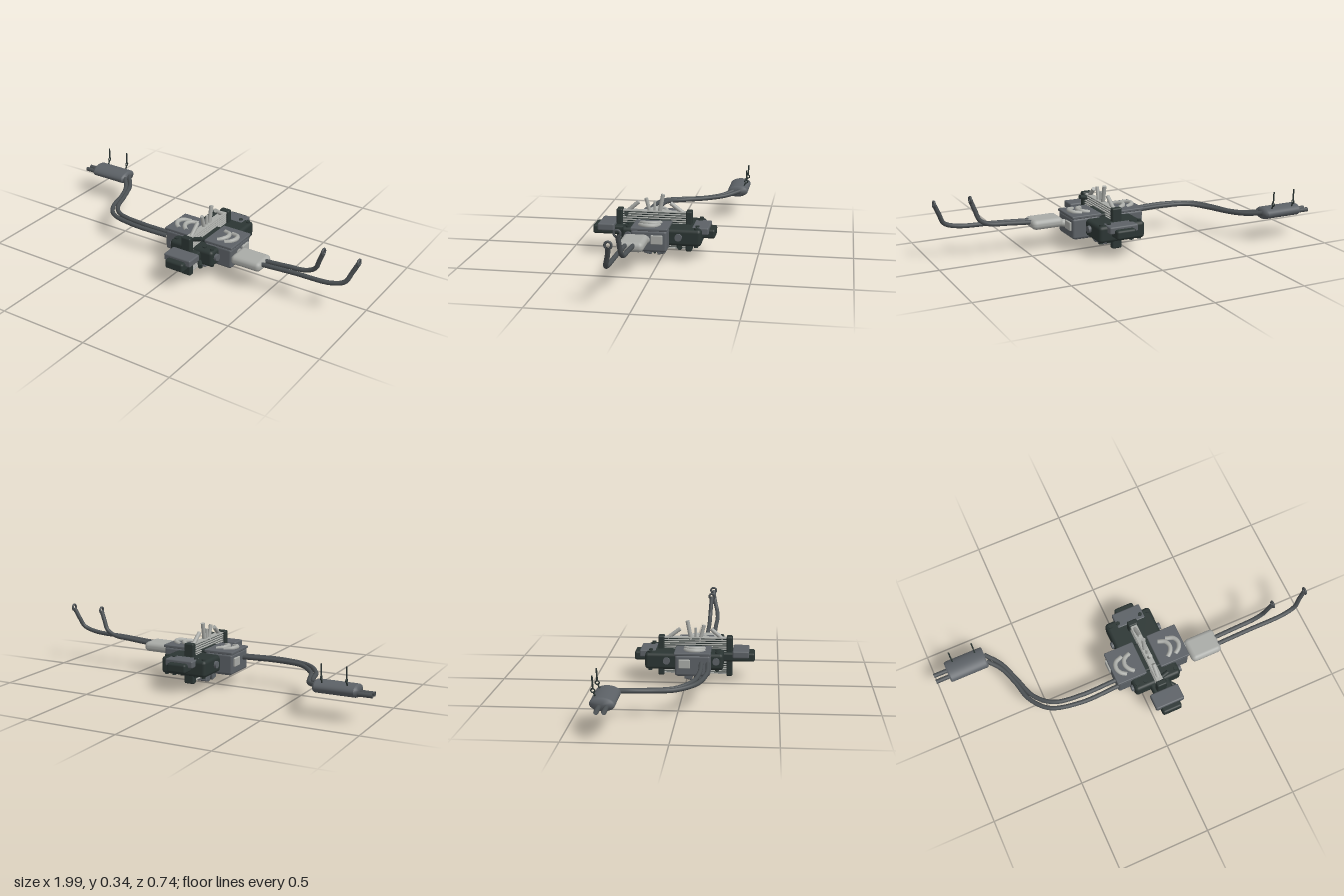
import * as THREE from 'three';
import { RoundedBoxGeometry } from 'three/addons/geometries/RoundedBoxGeometry.js';
import { toCreasedNormals } from 'three/addons/utils/BufferGeometryUtils.js';

const CX = 0.083, CZ = 0.045; // middle of the engine

export function createModel() {
  const model = new THREE.Group();
  model.name = 'engineAndExhaust';
  const material = (name, color) => {
    const m = new THREE.MeshStandardMaterial({ color });
    m.name = name;
    return m;
  };
  const black = material('blackCasting', 0x2b3533);
  const grey = material('greyMetal', 0x5c6166);
  const steel = material('exhaustSteel', 0x4b5053);
  const pale = material('paleAluminium', 0xa9aba7);

  const add = (name, geometry, mat, parent = model) => {
    const mesh = new THREE.Mesh(geometry, mat);
    mesh.name = name;
    parent.add(mesh);
    return mesh;
  };
  // Rounded box given by its limits on each axis
  const box = (name, mat, x0, x1, y0, y1, z0, z1, r = 0.008) => {
    const mesh = add(name, new RoundedBoxGeometry(x1 - x0, y1 - y0, z1 - z0, 2, r), mat);
    mesh.position.set((x0 + x1) / 2, (y0 + y1) / 2, (z0 + z1) / 2);
    return mesh;
  };
  // Cylinder between two points
  const rod = (name, mat, a, b, r, r2 = r) => {
    const p = new THREE.Vector3(...a), q = new THREE.Vector3(...b);
    const d = q.clone().sub(p);
    const mesh = add(name, new THREE.CylinderGeometry(r2, r, d.length(), 20), mat);
    mesh.position.copy(p).add(q).multiplyScalar(0.5);
    mesh.quaternion.setFromUnitVectors(new THREE.Vector3(0, 1, 0), d.normalize());
    return mesh;
  };
  const pipe = (name, mat, points, r, segments = 64) => {
    const curve = new THREE.CatmullRomCurve3(points.map(p => new THREE.Vector3(...p)));
    return add(name, new THREE.TubeGeometry(curve, segments, r, 14), mat);
  };

  // Rear silencer: an oval can with chamfered ends
  const profile = [[0, -0.108], [0.92, -0.108], [1, -0.1], [1, 0.1], [0.92, 0.108], [0, 0.108]];
  const can = toCreasedNormals(new THREE.LatheGeometry(
    profile.map(([x, y]) => new THREE.Vector2(x, y)), 40), 0.6);
  can.scale(0.033, 1, 0.06);
  can.rotateZ(Math.PI / 2);
  const silencer = add('silencer', can, grey);
  silencer.position.set(-0.818, 0.163, -0.313);
  silencer.rotation.x = 0.05;
  for (const z of [-0.328, -0.292]) {
    const tail = add('tailPipe', new THREE.CylinderGeometry(0.012, 0.012, 0.085, 20, 1, true), steel);
    tail.material = material('tailPipeSteel', 0x4b5053);
    tail.material.side = THREE.DoubleSide;
    tail.rotation.z = Math.PI / 2;
    tail.position.set(-0.9575, 0.151, z);
  }
  // Silencer hangers with a ring in the middle
  for (const x of [-0.88, -0.752]) {
    rod('hangerRod', black, [x, 0.226, -0.36], [x, 0.287, -0.363], 0.004);
    rod('hangerFoot', black, [x, 0.183, -0.345], [x, 0.208, -0.357], 0.004);
    const ring = add('hangerRing', new THREE.TorusGeometry(0.009, 0.0035, 8, 20), black);
    ring.rotation.y = Math.PI / 2;
    ring.position.set(x, 0.217, -0.36);
  }

  // Twin pipes from the engine to the silencer
  pipe('rearPipe', steel, [[-0.71, 0.165, -0.325], [-0.645, 0.15, -0.245], [-0.6, 0.14, -0.13],
    [-0.555, 0.138, -0.01], [-0.47, 0.148, 0.068], [-0.32, 0.15, 0.093], [-0.12, 0.147, 0.09]], 0.012);
  pipe('rearPipe', steel, [[-0.71, 0.165, -0.285], [-0.655, 0.15, -0.22], [-0.615, 0.14, -0.12],
    [-0.585, 0.138, -0.01], [-0.505, 0.146, 0.088], [-0.34, 0.15, 0.13], [-0.12, 0.147, 0.126]], 0.012);

  // Twin front pipes bending up to their flanges
  pipe('frontPipe', steel, [[0.46, 0.16, 0.09], [0.6, 0.172, 0.09], [0.7, 0.183, 0.09],
    [0.75, 0.212, 0.09], [0.77, 0.26, 0.093], [0.792, 0.318, 0.097]], 0.012);
  pipe('frontPipe', steel, [[0.46, 0.16, 0.13], [0.65, 0.172, 0.13], [0.86, 0.183, 0.13],
    [0.93, 0.21, 0.122], [0.955, 0.26, 0.108], [0.982, 0.318, 0.097]], 0.012);
  for (const x of [0.792, 0.982]) {
    const flange = add('pipeFlange', new THREE.TorusGeometry(0.016, 0.006, 10, 24), steel);
    flange.rotation.y = Math.PI / 2;
    flange.position.set(x, 0.32, 0.098);
  }

  // Catalyst with its inlet cone
  box('catalyst', pale, 0.3, 0.475, 0.125, 0.178, 0.037, 0.17, 0.024);
  rod('catalystInlet', pale, [0.275, 0.14, 0.055], [0.315, 0.145, 0.065], 0.022, 0.02);

  // Crankcase and cylinder banks
  box('crankcase', black, -0.05, 0.213, 0.09, 0.18, -0.217, 0.203, 0.018);
  for (const s of [-1, 1]) {
    const a = CX + s * 0.045, b = CX + s * 0.205;
    const [x0, x1] = [Math.min(a, b), Math.max(a, b)];
    box('cylinderBank', grey, x0, x1, 0.077, 0.188, -0.05, 0.137, 0.012);
    box('bankCover', grey, x0 - 0.004, x1 + 0.004, 0.187, 0.203, -0.055, 0.138, 0.005);
    box('sumpPad', grey, x0 + 0.015, x1 - 0.015, 0.072, 0.082, -0.038, 0.125, 0.004);
    const e = CX + s * 0.207;
    box('endCover', pale, e - 0.008, e + 0.008, 0.12, 0.167, -0.03, 0.032, 0.004);
    for (const z of [-0.1, 0.165])
      rod('sidePort', grey, [CX + s * 0.12, 0.14, z], [CX + s * 0.145, 0.14, z], 0.019);
    // Curved intake runners lying on each cover
    for (const [d, bend] of [[0.085, 0.035], [0.13, 0.04]])
      pipe('intakeRunner', pale, [[CX + s * d, 0.2, 0.0], [CX + s * (d + bend), 0.206, 0.018],
        [CX + s * (d + bend + 0.012), 0.208, 0.05], [CX + s * (d + bend), 0.206, 0.08],
        [CX + s * (d + 0.012), 0.2, 0.1]], 0.012, 24);
    // Bolts along the crankcase edges
    for (const d of [0.065, 0.11]) for (const z of [-0.19, 0.17])
      for (const [y0, y1] of [[0.175, 0.187], [0.083, 0.094]])
        rod('caseBolt', black, [CX + s * d, y0, z], [CX + s * d, y1, z], 0.011);
  }
  box('centreBridge', black, CX - 0.05, CX + 0.05, 0.085, 0.195, -0.04, 0.125);

  // Gearbox housings at both ends
  for (const s of [-1, 1]) {
    const c = s > 0 ? 0.045 : 0.043;
    const span = (name, mat, w, y0, y1, d0, d1, r) => {
      const a = c + s * d0, b = c + s * d1;
      box(name, mat, CX + 0.005 - w, CX + 0.005 + w, y0, y1, Math.min(a, b), Math.max(a, b), r);
    };
    span('endHousing', black, 0.055, 0.118, 0.167, 0.14, 0.325, 0.012);
    span('housingLid', grey, 0.081, 0.143, 0.182, 0.205, 0.294, 0.008);
  }

  // Radiator across the middle: core, fins and two end tanks
  box('radiatorCore', black, CX - 0.012, CX + 0.008, 0.042, 0.24, -0.125, 0.218, 0.004);
  for (let i = 0; i < 17; i++) {
    const y = 0.044 + i * 0.0122;
    box('radiatorFin', pale, CX - 0.02, CX + 0.016, y - 0.003, y + 0.003, -0.123, 0.216, 0.001);
  }
  for (const z of [-0.1385, 0.2325])
    box('radiatorTank', black, CX - 0.03, CX + 0.026, 0.031, 0.25, z - 0.0165, z + 0.0165, 0.008);
  rod('upperHose', black, [CX, 0.22, 0.2], [0.14, 0.235, 0.188], 0.012);
  rod('lowerHose', black, [CX, 0.08, -0.075], [0.16, 0.067, -0.1], 0.013);
  rod('frontHose', black, [0.11, 0.12, 0.17], [0.165, 0.1, 0.235], 0.012);

  // Fanned pale stacks above the radiator: start z, y, end z, y, radius
  for (const [z0, y0, z1, y1, r] of [[0.195, 0.232, 0.133, 0.286, 0.011], [0.07, 0.22, 0.093, 0.308, 0.01],
    [0.048, 0.22, 0.048, 0.293, 0.007], [0.022, 0.23, 0.002, 0.331, 0.011], [-0.105, 0.235, -0.037, 0.286, 0.011]])
    rod('intakeStack', pale, [CX - 0.003, y0, z0], [CX - 0.003, y1, z1], r);

  // Splayed pair of boxes beneath
  for (const s of [-1, 1]) {
    const foot = box('lowerBox', grey, 0.05, 0.108, 0.008, 0.074, CZ + s * 0.03 - 0.022, CZ + s * 0.03 + 0.022, 0.006);
    foot.rotation.x = -s * 0.24;
  }
  rod('footPin', black, [0.06, 0.016, CZ], [0.1, 0.016, CZ], 0.007);
  return model;
}
